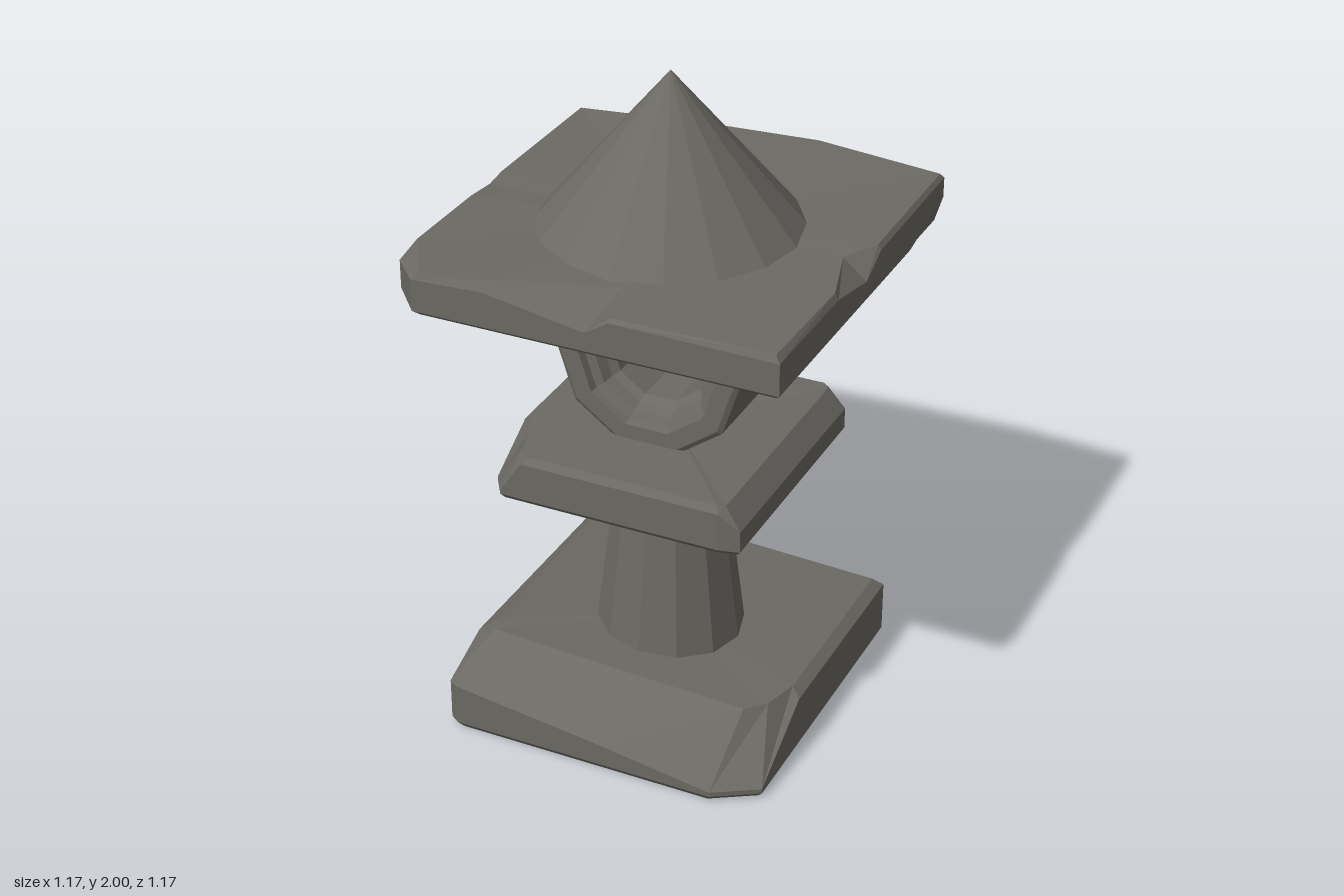
import * as THREE from 'three';

const stone = new THREE.MeshStandardMaterial({ color: 0x6b6963, flatShading: true, roughness: 1 });

// Rough-hewn slab. Stations run counterclockwise seen from above:
// [x, z, low edge y, high edge y, top x, top z, top y]
function slabGeometry(y0, centreTop, stations) {
  const inset = 0.97;
  const n = stations.length;
  const loops = [
    stations.map(([x, z]) => [x * inset, y0, z * inset]),
    stations.map(([x, z, low]) => [x, low, z]),
    stations.map(([x, z, , high]) => [x, high, z]),
    stations.map(([, , , , x, z, y]) => [x, y, z]),
  ];
  const pos = loops.flat(2);
  const index = [];
  const bottom = loops.length * n, top = bottom + 1;
  pos.push(0, y0, 0, 0, centreTop, 0);
  for (let i = 0; i < n; i++) {
    const j = (i + 1) % n;
    for (let k = 0; k < loops.length - 1; k++) {
      const a = k * n + i, b = k * n + j, c = b + n, d = a + n;
      index.push(a, b, c, a, c, d);
    }
    index.push(bottom, j, i, top, (loops.length - 1) * n + i, (loops.length - 1) * n + j);
  }
  const g = new THREE.BufferGeometry();
  g.setAttribute('position', new THREE.Float32BufferAttribute(pos, 3));
  g.setIndex(index);
  const flat = g.toNonIndexed();
  flat.computeVertexNormals();
  return flat;
}

export function createModel() {
  const group = new THREE.Group();
  const add = (name, geometry, y = 0) => {
    const mesh = new THREE.Mesh(geometry, stone);
    mesh.name = name;
    mesh.position.y = y;
    group.add(mesh);
    return mesh;
  };

  // Base with a broken, sloping front
  add('baseSlab', slabGeometry(0, 0.235, [
    [-0.49, -0.5, 0.02, 0.21, -0.46, -0.48, 0.24],
    [-0.49, 0.3, 0.02, 0.22, -0.43, 0.28, 0.265],
    [-0.49, 0.48, 0.02, 0.15, -0.42, 0.33, 0.26],
    [-0.46, 0.5, 0.02, 0.15, -0.39, 0.33, 0.26],
    [0.0, 0.5, 0.02, 0.09, 0.0, 0.33, 0.24],
    [0.36, 0.5, 0.02, 0.035, 0.38, 0.31, 0.21],
    [0.49, 0.42, 0.02, 0.035, 0.43, 0.25, 0.205],
    [0.49, 0.16, 0.02, 0.18, 0.46, 0.14, 0.205],
    [0.49, -0.5, 0.02, 0.18, 0.46, -0.48, 0.205],
  ]));

  // Tapered post
  add('post', new THREE.CylinderGeometry(0.153, 0.227, 0.61, 12), 0.485);

  // Middle slab with a worn corner and a rounded side
  add('middleSlab', slabGeometry(0.77, 0.92, [
    [-0.39, -0.39, 0.785, 0.9, -0.375, -0.375, 0.92],
    [-0.39, 0.16, 0.785, 0.9, -0.375, 0.16, 0.92],
    [-0.39, 0.33, 0.785, 0.8, -0.33, 0.24, 0.92],
    [-0.35, 0.39, 0.785, 0.8, -0.3, 0.35, 0.92],
    [-0.28, 0.39, 0.785, 0.9, -0.27, 0.375, 0.92],
    [0.33, 0.39, 0.785, 0.9, 0.32, 0.375, 0.92],
    [0.39, 0.375, 0.785, 0.85, 0.34, 0.36, 0.915],
    [0.39, -0.375, 0.785, 0.85, 0.34, -0.36, 0.915],
    [0.33, -0.39, 0.785, 0.9, 0.32, -0.375, 0.92],
  ]));

  // Lantern ring with stepped openings, mirrored front to back
  const half = [[0.155, 0.07], [0.175, 0.09], [0.185, 0.125], [0.21, 0.135], [0.215, 0.16], [0.27, 0.16], [0.285, 0.15]];
  const profile = [...half.map(([r, d]) => [r, -d]).reverse(), ...half, [0.285, -0.15]]
    .map(([r, d]) => new THREE.Vector2(r, d));
  const ringGeometry = new THREE.LatheGeometry(profile.reverse(), 10, Math.PI / 2);
  // Orient the surface outward whichever way the profile runs
  const signedArea = THREE.ShapeUtils.area(profile);
  if (signedArea < 0) {
    const ix = ringGeometry.index.array;
    for (let i = 0; i < ix.length; i += 3) [ix[i], ix[i + 1]] = [ix[i + 1], ix[i]];
  }
  add('lanternRing', ringGeometry.rotateX(Math.PI / 2).toNonIndexed(), 1.17);

  // Roof slab with chipped edges and a raised back
  add('roofSlab', slabGeometry(1.42, 1.545, [
    [-0.585, -0.585, 1.435, 1.535, -0.575, -0.575, 1.55],
    [-0.585, -0.08, 1.435, 1.535, -0.575, -0.08, 1.55],
    [-0.585, 0.0, 1.435, 1.49, -0.57, 0.0, 1.545],
    [-0.585, 0.1, 1.435, 1.535, -0.575, 0.1, 1.55],
    [-0.585, 0.48, 1.435, 1.52, -0.575, 0.4, 1.55],
    [-0.49, 0.585, 1.435, 1.53, -0.47, 0.57, 1.55],
    [-0.27, 0.585, 1.435, 1.54, -0.26, 0.52, 1.55],
    [0.03, 0.585, 1.435, 1.49, 0.05, 0.4, 1.54],
    [0.1, 0.585, 1.435, 1.535, 0.1, 0.575, 1.545],
    [0.585, 0.585, 1.435, 1.53, 0.57, 0.575, 1.55],
    [0.585, 0.2, 1.435, 1.53, 0.575, 0.2, 1.55],
    [0.585, 0.0, 1.435, 1.49, 0.515, 0.0, 1.55],
    [0.585, -0.1, 1.435, 1.54, 0.575, -0.1, 1.555],
    [0.585, -0.33, 1.435, 1.545, 0.575, -0.33, 1.56],
    [0.585, -0.585, 1.49, 1.55, 0.575, -0.575, 1.565],
    [0.2, -0.585, 1.435, 1.58, 0.2, -0.575, 1.595],
    [-0.18, -0.585, 1.435, 1.565, -0.18, -0.575, 1.58],
  ]));

  // Pointed cap
  add('cap', new THREE.ConeGeometry(0.42, 0.5, 16), 1.75);

  return group;
}
